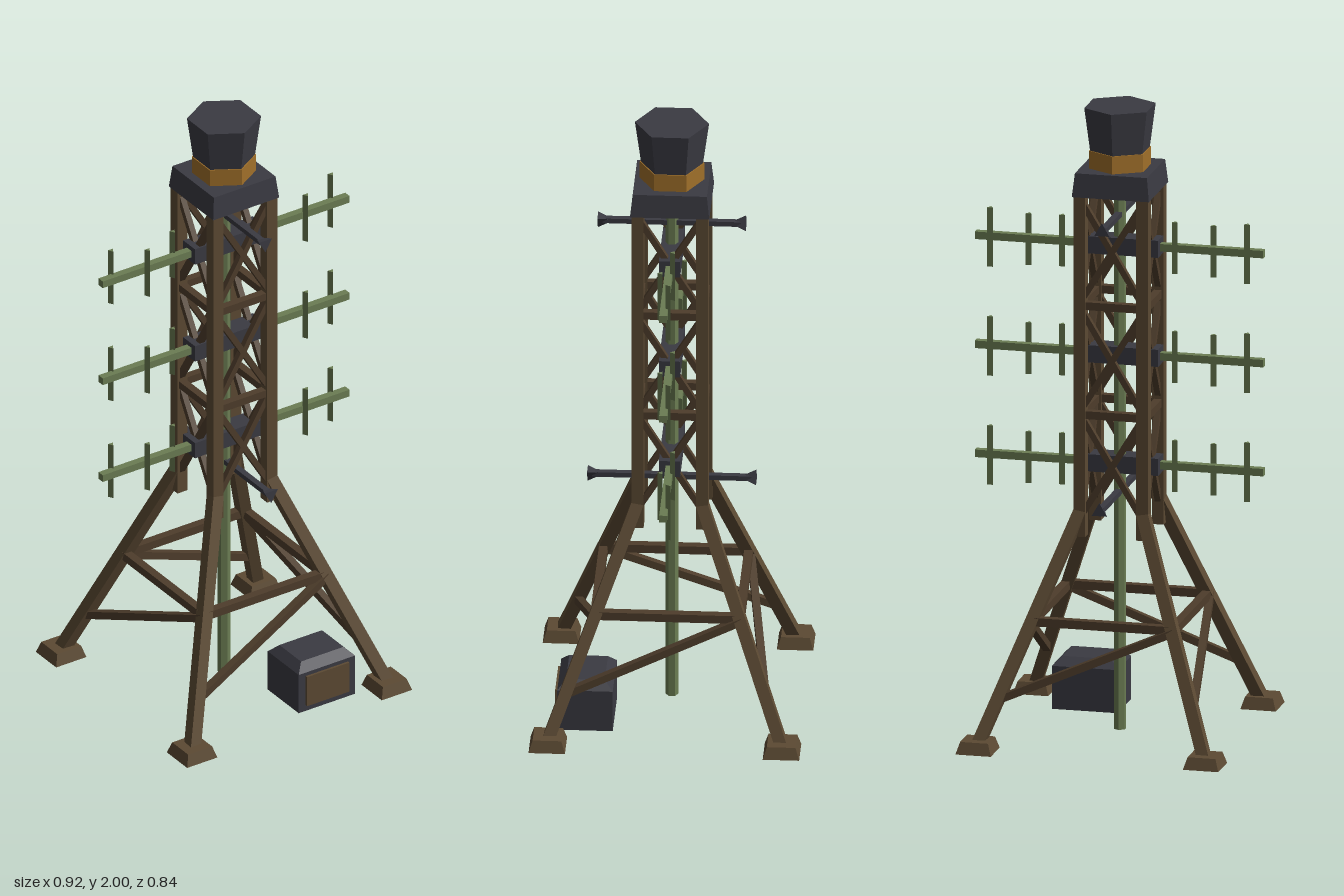
import * as THREE from 'three';

const mat = (name, color) => {
  const m = new THREE.MeshStandardMaterial({ color, flatShading: true });
  m.name = name;
  return m;
};

export function createModel() {
  const model = new THREE.Group();
  model.name = 'latticeTower';
  const wood = mat('brown', 0x5c4a33);
  const brace = mat('darkBrown', 0x4e3d2b);
  const dark = mat('charcoal', 0x3a3a42);
  const green = mat('mossGreen', 0x6b7d53);
  const amber = mat('amber', 0xa0702a);

  const add = (name, geo, material, x, y, z) => {
    const m = new THREE.Mesh(geo, material);
    m.name = name;
    m.position.set(x, y, z);
    model.add(m);
    return m;
  };
  const box = (name, w, h, d, material, x, y, z) =>
    add(name, new THREE.BoxGeometry(w, h, d), material, x, y, z);

  // Square beam between two points, optionally rolled about its length
  const beam = (name, a, b, t, material, roll = 0) => {
    const p = new THREE.Vector3(...a), q = new THREE.Vector3(...b);
    const geo = new THREE.BoxGeometry(t, t, p.distanceTo(q));
    geo.rotateZ(roll);
    const mid = p.clone().add(q).multiplyScalar(0.5);
    add(name, geo, material, mid.x, mid.y, mid.z).lookAt(q);
  };

  // Box whose top is narrowed by a fixed inset on every side
  const tapered = (name, w, h, d, inset, material, x, y, z) => {
    const geo = new THREE.BoxGeometry(w, h, d);
    const p = geo.attributes.position;
    for (let i = 0; i < p.count; i++) {
      if (p.getY(i) < 0) continue;
      p.setX(i, p.getX(i) - Math.sign(p.getX(i)) * inset);
      p.setZ(i, p.getZ(i) - Math.sign(p.getZ(i)) * inset);
    }
    geo.computeVertexNormals();
    add(name, geo, material, x, y, z);
  };

  // Feet, splayed legs and upright posts at the four corners
  for (const sx of [-1, 1]) for (const sz of [-1, 1]) {
    tapered('foot', 0.113, 0.038, 0.113, 0.012, wood, sx * 0.363, 0.019, sz * 0.363);
    beam('leg', [sx * 0.36, 0.025, sz * 0.36], [sx * 0.1, 0.72, sz * 0.1], 0.038, wood, Math.PI / 4);
    box('post', 0.038, 1.09, 0.038, wood, sx * 0.1, 1.185, sz * 0.1);
  }

  // Bracing, repeated around the four faces
  for (let k = 0; k < 4; k++) {
    const c = Math.round(Math.cos(k * Math.PI / 2)), s = Math.round(Math.sin(k * Math.PI / 2));
    const at = (x, y, z) => [x * c + z * s, y, z * c - x * s];
    beam('legRail', at(-0.225, 0.39, 0.225), at(0.225, 0.39, 0.225), 0.027, brace);
    beam('legBrace', at(-0.31, 0.155, 0.31), at(0.23, 0.385, 0.23), 0.024, brace);
    for (const y of [1.03, 1.38])
      beam('rail', at(-0.1, y, 0.1), at(0.1, y, 0.1), 0.025, brace);
    for (const y of [0.7, 1.04, 1.39]) for (const side of [-1, 1])
      beam('crossBrace', at(-side * 0.1, y, 0.1), at(side * 0.1, y + 0.33, 0.1), 0.019, brace);
  }

  // Central mast
  add('mast', new THREE.CylinderGeometry(0.02, 0.02, 1.74, 6), green, 0, 0.87, 0);

  // Side antennas: bracket, booms and three-sided rods
  const rods = [[0.18, 0.165, 0.004, -0.015], [0.295, 0.165, -0.008, 0.017], [0.41, 0.19, 0, -0.015]];
  for (const y of [0.855, 1.205, 1.555]) {
    box('antennaBracket', 0.26, 0.055, 0.066, dark, 0, y, 0);
    for (const side of [-1, 1]) {
      box('antennaBoom', 0.36, 0.024, 0.024, green, side * 0.28, y, 0);
      for (const [x, h, dy, z] of rods)
        add('antennaRod', new THREE.CylinderGeometry(0.0108, 0.0108, h, 3), green, side * x, y + dy, z);
    }
  }

  // Front-to-back arms ending in flared horns
  for (const [y, reach] of [[0.765, 0.262], [1.655, 0.23]]) {
    box('hornArm', 0.02, 0.016, reach * 2 - 0.03, dark, 0, y, 0);
    for (const side of [-1, 1]) {
      const horn = new THREE.CylinderGeometry(0.028, 0.01, 0.035, 3);
      horn.rotateX(side * Math.PI / 2);
      add('horn', horn, dark, 0, y, side * (reach - 0.0175));
    }
  }

  // Platform and six-sided beacon
  tapered('platform', 0.246, 0.075, 0.246, 0.008, dark, 0, 1.7675, 0);
  add('beaconBand', new THREE.CylinderGeometry(0.1, 0.1, 0.06, 6), amber, 0, 1.832, 0);
  add('beaconHousing', new THREE.CylinderGeometry(0.115, 0.096, 0.14, 6), dark, 0, 1.93, 0);

  // Equipment cabinet at the base
  box('cabinet', 0.21, 0.138, 0.172, dark, 0.155, 0.069, 0.254);
  tapered('cabinetLid', 0.21, 0.027, 0.172, 0.026, dark, 0.155, 0.1515, 0.254);
  box('cabinetPanel', 0.158, 0.105, 0.009, wood, 0.155, 0.073, 0.3435);

  return model;
}
